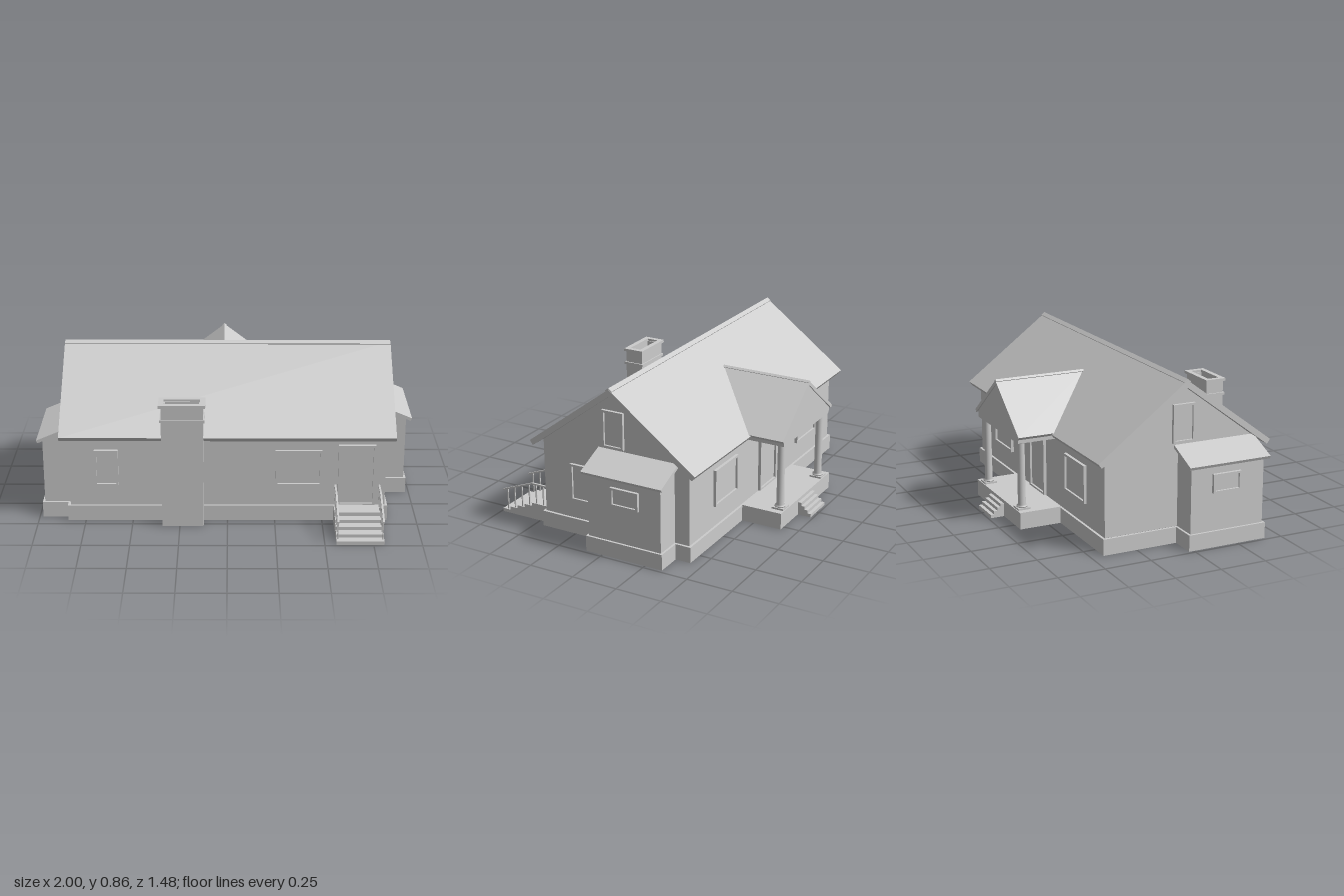
import * as THREE from 'three';
import { mergeGeometries } from 'three/addons/utils/BufferGeometryUtils.js';

const solid = new THREE.MeshStandardMaterial({ color: 0xcccccc, flatShading: true });
const thin = new THREE.MeshStandardMaterial({ color: 0xcccccc, flatShading: true, side: THREE.DoubleSide });
const round = new THREE.MeshStandardMaterial({ color: 0xcccccc });

const shapeOf = (pts) => new THREE.Shape(pts.map(([x, y]) => new THREE.Vector2(x, y)));

function add(parent, name, geometry, material = solid) {
  const mesh = new THREE.Mesh(geometry, material);
  mesh.name = name;
  parent.add(mesh);
  return mesh;
}

// Box from its limits
function block(x0, x1, y0, y1, z0, z1) {
  return new THREE.BoxGeometry(x1 - x0, y1 - y0, z1 - z0)
    .translate((x0 + x1) / 2, (y0 + y1) / 2, (z0 + z1) / 2);
}

// Closed solid: xy profile run from z0 to z1
function bar(pts, z0, z1) {
  return new THREE.ExtrudeGeometry(shapeOf(pts), { depth: z1 - z0, bevelEnabled: false }).translate(0, 0, z0);
}

// Thin shell: open xy profile run from z0 to z1, with both ends filled and no bottom
function shell(pts, z0, z1) {
  const parts = [z0, z1].map((z) => new THREE.ShapeGeometry(shapeOf(pts)).translate(0, 0, z));
  for (let i = 0; i + 1 < pts.length; i++) {
    const [ax, ay] = pts[i], [bx, by] = pts[i + 1];
    const side = new THREE.PlaneGeometry(z1 - z0, Math.hypot(bx - ax, by - ay));
    side.rotateY(Math.PI / 2).rotateZ(Math.atan2(by - ay, bx - ax) - Math.PI / 2);
    parts.push(side.translate((ax + bx) / 2, (ay + by) / 2, (z0 + z1) / 2));
  }
  return mergeGeometries(parts);
}

// Upright rectangular ring with walls of thickness t
function ring(x0, x1, z0, z1, y0, y1, t) {
  const s = shapeOf([[x0, -z1], [x1, -z1], [x1, -z0], [x0, -z0]]);
  s.holes.push(shapeOf([[x0 + t, t - z1], [x0 + t, -z0 - t], [x1 - t, -z0 - t], [x1 - t, t - z1]]));
  return new THREE.ExtrudeGeometry(s, { depth: y1 - y0, bevelEnabled: false })
    .rotateX(-Math.PI / 2).translate(0, y0, 0);
}

// Framed window or door lying on a wall, turned to face outwards
function opening(parent, name, w, y0, y1, x, z, turn) {
  const g = new THREE.Group();
  g.name = name;
  const h = y1 - y0, t = 0.012;
  const frame = ring(-w / 2, w / 2, -h / 2, h / 2, 0, 0.016, t).rotateX(Math.PI / 2);
  add(g, 'frame', frame);
  add(g, 'pane', block(-w / 2 + t, w / 2 - t, -h / 2 + t, h / 2 - t, -0.002, 0.005));
  g.position.set(x, (y0 + y1) / 2, z);
  g.rotation.y = turn;
  parent.add(g);
}

// Pitched roof profile, with eaves cut square to the slope
function chevron(half, ridge, eave, t) {
  const k = (ridge - eave) / half, len = Math.hypot(1, k);
  const dx = t * k / len, dy = t / len;
  return [[-half, eave], [-half + dx, eave - dy], [0, ridge - t * len],
    [half - dx, eave - dy], [half, eave], [0, ridge]];
}

// Stair profile: n steps dropping away from the wall
function stairs(back, top, run, n) {
  const pts = [[0, 0], [0, top], [back, top]];
  for (let i = 1; i <= n; i++) {
    const y = top * (1 - i / (n + 1)), x = back + run * i;
    pts.push([x - run, y], [x, y]);
  }
  pts.push([back + run * n, 0]);
  return pts;
}

// Side room with a lean-to roof; side is +1 or -1 in x
function sideRoom(side, z0, z1) {
  const g = new THREE.Group();
  g.name = side > 0 ? 'leftSideRoom' : 'rightSideRoom';
  const m = (pts) => pts.map(([x, y]) => [x * side, y]);
  add(g, 'walls', shell(m([[0.83, 0.085], [0.83, 0.5], [0.97, 0.438], [0.97, 0.085]]), z0, z1), thin);
  const xs = [0.835 * side, 0.982 * side].sort((a, b) => a - b);
  add(g, 'foundation', ring(xs[0], xs[1], z0 - 0.012, z1 + 0.012, 0, 0.085, 0.013));
  add(g, 'roof', bar(m([[0.83, 0.515], [0.83, 0.498], [0.993, 0.428], [1, 0.443]]), z0 - 0.022, z1 + 0.022));
  opening(g, 'window', 0.16, 0.285, 0.385, 0.97 * side, (z0 + z1) / 2 - 0.008, side * Math.PI / 2);
  return g;
}

export function createModel() {
  const house = new THREE.Group();
  house.name = 'house';
  const quarter = Math.PI / 2;

  // Main body, open underneath
  const body = new THREE.Group();
  body.name = 'mainBody';
  house.add(body);
  add(body, 'walls', shell([[-0.43, 0.085], [-0.43, 0.49], [0, 0.815], [0.43, 0.49], [0.43, 0.085]], -0.83, 0.83)
    .rotateY(quarter).translate(0, 0, 0.01), thin);
  add(body, 'foundation', ring(-0.845, 0.845, -0.433, 0.453, 0, 0.085, 0.014));
  add(body, 'roof', bar(chevron(0.485, 0.852, 0.488, 0.03), -0.875, 0.875)
    .rotateY(quarter).translate(0, 0, 0.01));
  add(body, 'ridgeCap', bar(chevron(0.02, 0.859, 0.844, 0.012), -0.873, 0.873)
    .rotateY(quarter).translate(0, 0, 0.01));

  // Windows and front door
  opening(body, 'frontSmallWindow', 0.125, 0.2, 0.4, -0.635, 0.44, 0);
  opening(body, 'frontWideWindow', 0.245, 0.2, 0.4, 0.373, 0.44, 0);
  opening(body, 'frontDoor', 0.195, 0.088, 0.43, 0.678, 0.44, 0);
  opening(body, 'sideWindow', 0.123, 0.187, 0.39, 0.83, 0.212, quarter);
  for (const s of [-1, 1]) opening(body, 'atticWindow', 0.123, 0.525, 0.725, 0.83 * s, 0.012, s * quarter);
  for (const x of [-0.5, 0.46]) opening(body, 'backWindow', 0.245, 0.2, 0.4, x, -0.42, Math.PI);
  opening(body, 'backDoor', 0.195, 0.088, 0.43, -0.02, -0.42, Math.PI);

  // Side rooms
  house.add(sideRoom(1, -0.337, 0.083), sideRoom(-1, -0.015, 0.4));

  // Chimney with a hollow top
  const chimney = new THREE.Group();
  chimney.name = 'chimney';
  house.add(chimney);
  add(chimney, 'stack', block(-0.342, -0.125, 0, 0.62, 0.425, 0.527));
  add(chimney, 'flue', ring(-0.342, -0.125, 0.425, 0.527, 0.62, 0.67, 0.02));
  add(chimney, 'band', block(-0.35, -0.117, 0.588, 0.602, 0.418, 0.535));
  add(chimney, 'cap', ring(-0.355, -0.113, 0.416, 0.534, 0.667, 0.682, 0.027));

  // Front stairs with railings
  const steps = new THREE.Group();
  steps.name = 'frontStairs';
  house.add(steps);
  add(steps, 'treads', shell(stairs(0.1, 0.092, 0.047, 4), -0.123, 0.123)
    .rotateY(-quarter).translate(0.683, 0, 0.452), thin);
  for (const x of [0.567, 0.798]) {
    add(steps, 'handrail', bar([[-0.74, 0.122], [-0.548, 0.197], [-0.445, 0.197], [-0.445, 0.205], [-0.55, 0.205], [-0.74, 0.13]],
      x - 0.005, x + 0.005).rotateY(quarter).translate(x, 0, x));
    const rail = steps.children[steps.children.length - 1];
    rail.geometry.translate(-x, 0, -x);
    [0.71, 0.665, 0.617, 0.57, 0.525, 0.48].forEach((z, i) => {
      const top = Math.min(0.2, 0.126 + (0.74 - z) * 0.39);
      const base = Math.min(0.092, 0.018 * (i + 1));
      add(steps, 'baluster', block(x - 0.003, x + 0.003, base, top, z - 0.003, z + 0.003));
    });
    // Bring the rail to its side of the stairs
    rail.geometry.computeBoundingBox();
    const b = rail.geometry.boundingBox;
    rail.geometry.translate(x - (b.min.x + b.max.x) / 2, 0, 0.74 - b.max.z);
  }

  // Back porch
  const porch = new THREE.Group();
  porch.name = 'backPorch';
  porch.position.x = -0.02;
  house.add(porch);
  add(porch, 'deck', shell([[-0.305, 0], [-0.305, 0.09], [0.305, 0.09], [0.305, 0]], -0.66, -0.43), thin);
  add(porch, 'steps', shell(stairs(0.001, 0.09, 0.019, 4), -0.088, 0.088)
    .rotateY(quarter).translate(0.008, 0, -0.659), thin);
  add(porch, 'ceiling', block(-0.28, 0.28, 0.457, 0.492, -0.655, -0.42));
  add(porch, 'gable', bar([[-0.285, 0.485], [0.285, 0.485], [0, 0.713]], -0.655, -0.645));

  // Porch roof, its inner end trimmed to the slope of the main roof
  const roof = bar(chevron(0.305, 0.728, 0.495, 0.018), -0.662, -0.17);
  const p = roof.attributes.position;
  for (let i = 0; i < p.count; i++) {
    if (p.getZ(i) > -0.5) p.setZ(i, 0.015 - (0.852 - p.getY(i)) * 1.332);
  }
  roof.computeVertexNormals();
  add(porch, 'roof', roof, thin);
  add(porch, 'ridgeCap', bar(chevron(0.012, 0.733, 0.724, 0.008), -0.662, -0.155));

  // Porch columns
  for (const x of [-0.235, 0.235]) {
    const column = new THREE.Group();
    column.name = 'column';
    add(column, 'plinth', block(-0.034, 0.034, 0.09, 0.1, -0.034, 0.034));
    const profile = [[0, 0.1], [0.029, 0.1], [0.029, 0.107], [0.021, 0.112], [0.019, 0.445], [0.024, 0.448], [0.024, 0.458]];
    const shaft = new THREE.LatheGeometry(profile.map(([r, y]) => new THREE.Vector2(r, y)), 20);
    add(column, 'shaft', shaft, round);
    column.position.set(x, 0, -0.621);
    porch.add(column);
  }
  return house;
}
